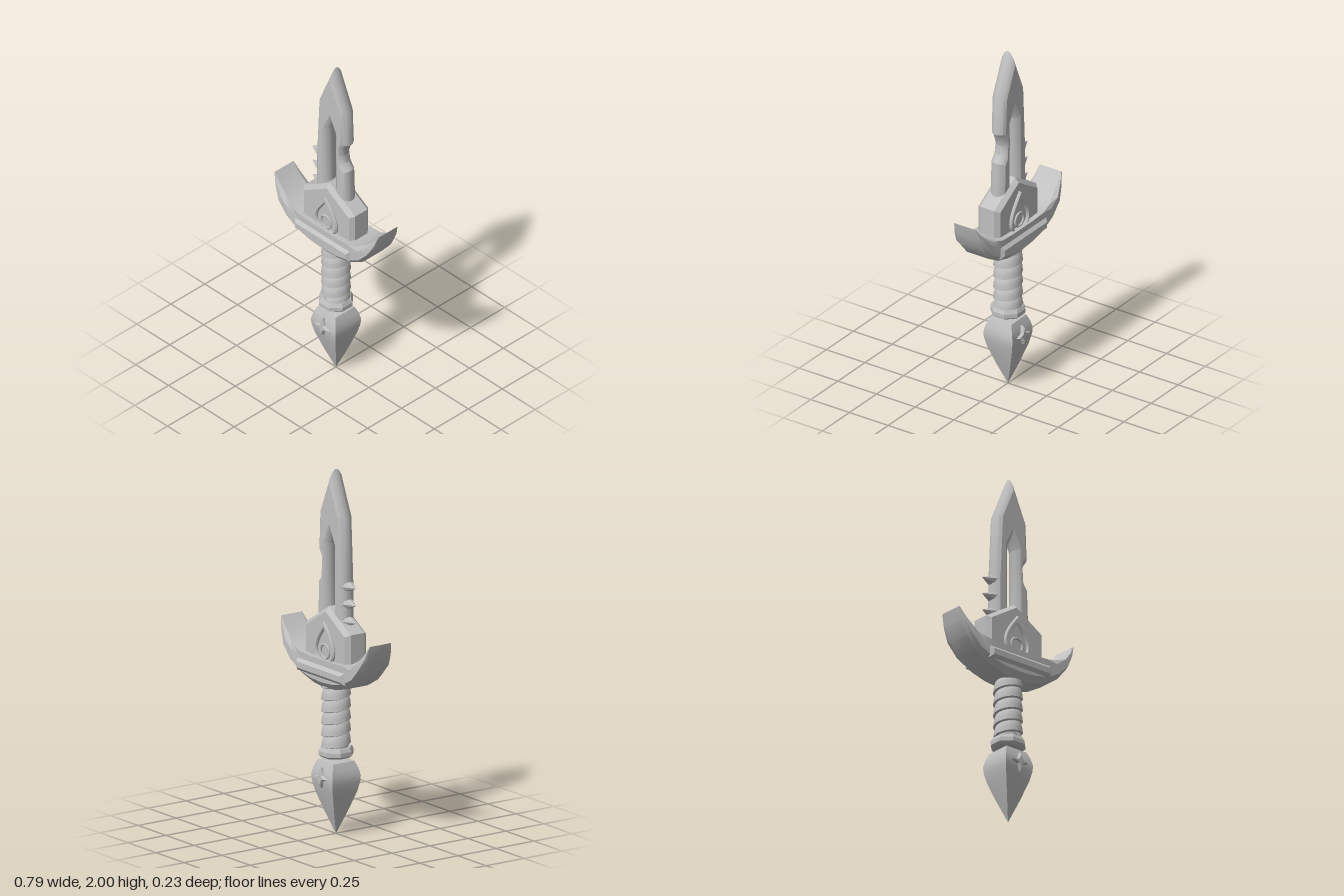
import * as THREE from 'three';
import { toCreasedNormals } from 'three/addons/utils/BufferGeometryUtils.js';

const steel = new THREE.MeshStandardMaterial({ color: 0xc0c0c0 });
steel.name = 'grey steel';

function part(group, name, geometry) {
  const m = new THREE.Mesh(geometry, steel);
  m.name = name;
  group.add(m);
  return m;
}

// Geometry from a flat list of triangle corners, smoothed below the crease angle
function fromTriangles(list, crease) {
  const g = new THREE.BufferGeometry();
  g.setAttribute('position', new THREE.Float32BufferAttribute(list, 3));
  return toCreasedNormals(g, crease);
}

// Move every edge of a polygon to its left by d
function inset(pts, d) {
  const n = pts.length;
  return pts.map((p, i) => {
    const a = p.clone().sub(pts[(i + n - 1) % n]).normalize();
    const b = pts[(i + 1) % n].clone().sub(p).normalize();
    const na = new THREE.Vector2(-a.y, a.x), nb = new THREE.Vector2(-b.y, b.x);
    const mid = na.clone().add(nb).normalize();
    return p.clone().addScaledVector(mid, d * Math.min(3, 1 / Math.max(0.05, mid.dot(na))));
  });
}

// Plate bevelled on both faces; profile lists [inset, z] from rim to face
function bevelPlate(outline, holes, profile, crease = 0.5) {
  const loops = [outline, ...holes].map((l, i) => {
    const pts = l.map(p => new THREE.Vector2(p[0], p[1]));
    return THREE.ShapeUtils.isClockWise(pts) === (i === 0) ? pts.reverse() : pts;
  });
  const steps = [...profile.map(([d, z]) => [d, -z]).reverse(), ...profile];
  const out = [];
  const push = (p, z) => out.push(p.x, p.y, z);
  for (const loop of loops) {
    for (let s = 0; s + 1 < steps.length; s++) {
      const [d0, z0] = steps[s], [d1, z1] = steps[s + 1];
      const A = inset(loop, d0), B = inset(loop, d1);
      A.forEach((p, i) => {
        const j = (i + 1) % A.length;
        push(p, z0); push(A[j], z0); push(B[j], z1);
        push(p, z0); push(B[j], z1); push(B[i], z1);
      });
    }
  }
  const [d, z] = profile[profile.length - 1];
  const faces = loops.map(l => inset(l, d)), all = faces.flat();
  for (const [a, b, c] of THREE.ShapeUtils.triangulateShape(faces[0], faces.slice(1))) {
    push(all[a], z); push(all[b], z); push(all[c], z);
    push(all[c], -z); push(all[b], -z); push(all[a], -z);
  }
  return fromTriangles(out, crease);
}

// Quads between successive rows of points [x, y, z]
function skin(rows, closed, crease) {
  const out = [];
  for (let r = 0; r + 1 < rows.length; r++) {
    const n = rows[r].length;
    for (let i = 0; i < (closed ? n : n - 1); i++) {
      const j = (i + 1) % n;
      const [a, b, c, d] = [rows[r][i], rows[r][j], rows[r + 1][j], rows[r + 1][i]];
      out.push(...a, ...b, ...c, ...a, ...c, ...d);
    }
  }
  return fromTriangles(out, crease);
}

function teardrop(cy, w, h) {
  return Array.from({ length: 32 }, (_, i) => {
    const t = i / 32 * Math.PI * 2;
    return [w * Math.sin(t) * Math.sin(t / 2) ** 1.2, cy + h * Math.cos(t)];
  });
}

// Crescent guard, from one half of outer and inner curves
function guardGeometry() {
  const half = [ // outer x, y, inner x, y, face z, inner z
    [0, 0.81, 0, 0.97, 0.1, 0.1],
    [0.1, 0.818, 0.1, 0.97, 0.1, 0.1],
    [0.19, 0.843, 0.19, 0.975, 0.1, 0.1],
    [0.28, 0.895, 0.25, 0.99, 0.1, 0.09],
    [0.343, 0.97, 0.307, 1.025, 0.1, 0.075],
    [0.378, 1.045, 0.355, 1.07, 0.085, 0.07],
    [0.397, 1.12, 0.396, 1.121, 0.07, 0.07],
  ];
  const mirrored = half.slice(1).reverse().map(([a, b, c, d, e, f]) => [-a, b, -c, d, e, f]);
  const rows = [...mirrored, ...half].map(([ox, oy, ix, iy, zf, zi]) => {
    const f = (k) => [ox + (ix - ox) * k, oy + (iy - oy) * k];
    return [
      [ox, oy, -0.07], [...f(0.22), -zf], [...f(0.75), -zf], [ix, iy, -zi],
      [ix, iy, zi], [...f(0.75), zf], [...f(0.22), zf], [ox, oy, 0.07],
    ];
  });
  return skin(rows, true, 0.4);
}

// Wrapped binding: a stepped profile swept up a helix
function wrapGeometry() {
  const pitch = 0.066, y0 = 0.44, turns = 5.6, seg = 28;
  const profile = [[0, 0.066], [0.005, 0.079], [0.03, 0.077], [0.06, 0.07], [pitch, 0.066]];
  const rows = [];
  for (let i = 0; i <= turns * seg; i++) {
    const t = i / seg * Math.PI * 2;
    rows.push(profile.map(([dy, r]) =>
      [r * Math.sin(t), y0 + dy + pitch * i / seg, r * Math.cos(t)]).reverse());
  }
  return skin(rows, false, 0.6);
}

function lathe(points, sides, turn, crease) {
  const g = new THREE.LatheGeometry(points.map(p => new THREE.Vector2(...p)), sides);
  return toCreasedNormals(g.rotateY(turn), crease);
}

export function createModel() {
  const sword = new THREE.Group();
  sword.name = 'sword';

  // Slotted blade with curved bevels and a notch on one side
  const blade = [
    [0, 2], [-0.102, 1.757], [-0.12, 1.39], [-0.122, 1], [0.122, 1], [0.122, 1.19],
    [0.115, 1.375], [0.085, 1.415], [0.077, 1.465], [0.092, 1.515], [0.113, 1.545], [0.104, 1.757],
  ];
  const slot = [[-0.025, 1.13], [0.025, 1.13], [0.025, 1.59], [0, 1.64], [-0.025, 1.59]];
  part(sword, 'blade', bevelPlate(blade, [slot],
    [[0, 0.006], [0.004, 0.02], [0.014, 0.036], [0.029, 0.046]], 0.48));

  // Barbs along the blade's right edge
  for (const y of [1.38, 1.285, 1.19]) {
    const barb = part(sword, 'barb', toCreasedNormals(new THREE.ConeGeometry(0.036, 0.085, 8), 0.3));
    barb.rotation.z = Math.PI / 2;
    barb.scale.z = 1.2;
    barb.position.set(-0.138, y, 0);
  }

  // Pointed housing at the root of the blade
  const housing = [[-0.193, 0.9], [0.193, 0.9], [0.193, 1.135], [0, 1.255], [-0.193, 1.135]];
  part(sword, 'bladeHousing', bevelPlate(housing, [], [[0, 0.045], [0.022, 0.07]], 0.1));

  // Flame frame around a small ring, on both faces
  part(sword, 'flameFrame', bevelPlate(teardrop(1.06, 0.12, 0.12), [teardrop(1.045, 0.09, 0.09)],
    [[0, 0.077], [0.006, 0.085]]));
  for (const s of [1, -1]) {
    part(sword, 'flameRing', new THREE.TorusGeometry(0.038, 0.007, 8, 28)).position.set(0, 1.01, s * 0.073);
  }

  // Crossguard and its raised bar
  part(sword, 'guard', guardGeometry());
  const bar = [[-0.21, 0.87], [0.21, 0.87], [0.21, 0.937], [-0.21, 0.937]];
  part(sword, 'guardBar', bevelPlate(bar, [], [[0, 0.1], [0.017, 0.117]], 0.1));

  // Grip
  const core = part(sword, 'gripCore', new THREE.CylinderGeometry(0.067, 0.067, 0.39, 28));
  core.position.y = 0.635;
  part(sword, 'gripWrap', wrapGeometry());
  part(sword, 'gripCollar', lathe([[0, 0.425], [0.08, 0.425], [0.096, 0.437], [0.096, 0.46],
    [0.086, 0.48], [0, 0.48]], 8, Math.PI / 8, 0.1));

  // Square spearhead pommel
  const pommel = [[0, 0], [0.045, 0.125], [0.08, 0.235], [0.092, 0.29], [0.094, 0.325],
    [0.085, 0.365], [0.07, 0.403], [0, 0.42]];
  part(sword, 'pommel', lathe(pommel.map(([w, y]) => [w * Math.SQRT2, y]), 4, Math.PI / 4, 0.45));

  // Four-pointed stars on the front and back of the pommel
  const star = Array.from({ length: 8 }, (_, i) => {
    const a = i * Math.PI / 4, r = i % 2 ? 0.021 : 0.055;
    return [r * Math.cos(a), 0.32 + r * Math.sin(a)];
  });
  part(sword, 'pommelStar', bevelPlate(star, [], [[0, 0.1], [0.005, 0.11]], 0.1));

  return sword;
}
